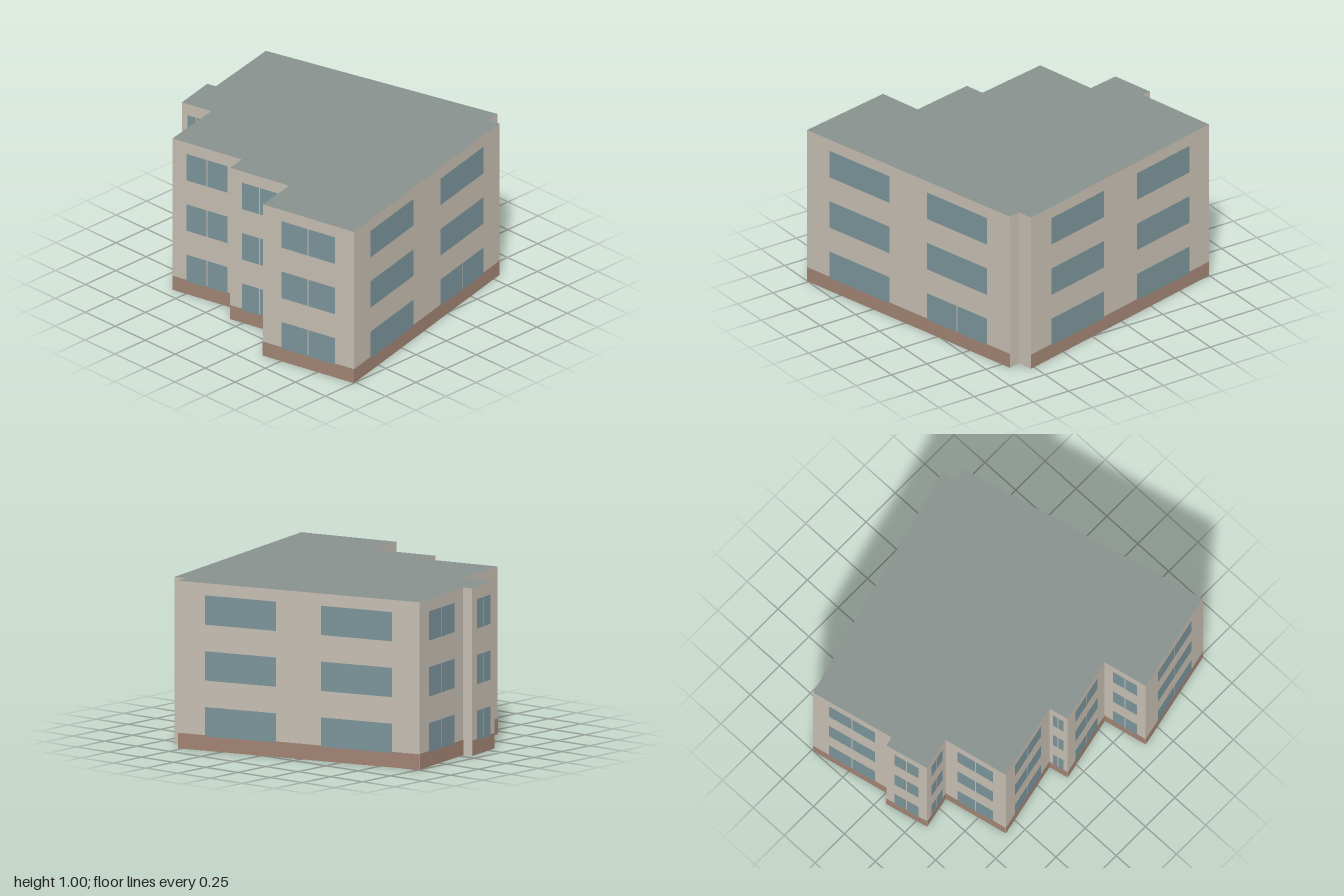
import * as THREE from 'three';

const HEIGHT = 1;
const PLINTH = 0.093;
const PANE_GAP = 0.006;

// Footprint corners [x, z], starting at the front right corner and going round
const FOOTPRINT = [
  [-0.764, 1.0], [0.813, 0.622], [0.797, 0.548], [0.891, 0.526],
  [0.49, -1.0], [-0.035, -0.886], [-0.049, -0.944], [-0.32, -0.882],
  [-0.278, -0.68], [-0.683, -0.594], [-0.583, -0.118], [-0.706, -0.091],
  [-0.62, 0.315], [-0.896, 0.374],
];

const wallMat = new THREE.MeshStandardMaterial({ color: 0xc8c0b4, side: THREE.DoubleSide });
const roofMat = new THREE.MeshStandardMaterial({ color: 0x8a928f, side: THREE.DoubleSide });
const plinthMat = new THREE.MeshStandardMaterial({ color: 0xa38575 });
const glassMat = new THREE.MeshStandardMaterial({ color: 0x7c969c });

// Upright panel spanning x0..x1 and y0..y1 of a wall, lifted outward by z
function panel(parent, name, mat, x0, x1, y0, y1, z) {
  const mesh = new THREE.Mesh(new THREE.PlaneGeometry(x1 - x0, y1 - y0), mat);
  mesh.position.set((x0 + x1) / 2, (y0 + y1) / 2, z);
  mesh.name = name;
  parent.add(mesh);
}

// Window of one pane, or two panes with a narrow gap between them
function addWindow(wall, name, center, width, y0, y1, split) {
  const x0 = center - width / 2, x1 = center + width / 2;
  if (!split) return panel(wall, name, glassMat, x0, x1, y0, y1, 0.003);
  panel(wall, name + 'PaneA', glassMat, x0, center - PANE_GAP / 2, y0, y1, 0.003);
  panel(wall, name + 'PaneB', glassMat, center + PANE_GAP / 2, x1, y0, y1, 0.003);
}

// One facade: local x runs along the wall, local z points outward
function makeWall([ax, az], [bx, bz], isFront) {
  const wall = new THREE.Group();
  const length = Math.hypot(bx - ax, bz - az);
  wall.position.set(ax, 0, az);
  wall.rotation.y = -Math.atan2(bz - az, bx - ax);
  panel(wall, 'wallFace', wallMat, 0, length, 0, HEIGHT, 0);
  if (length < 0.11) return wall; // short returns stay plain

  panel(wall, 'plinth', plinthMat, 0, length, 0, PLINTH, 0.0015);
  const wide = length > 1;
  const columns = wide ? [0.26, 0.74] : [0.5];
  const width = length * (wide ? 0.295 : 0.59);
  for (let floor = 0; floor < 3; floor++) {
    const y0 = 0.086 + floor / 3;
    columns.forEach((c, i) => {
      const door = isFront && floor === 0 && i === 1;
      addWindow(wall, door ? 'entrance' : 'window', c * length, width, y0, y0 + 0.175, door || !wide);
    });
  }
  return wall;
}

export function createModel() {
  const model = new THREE.Group();
  model.name = 'building';

  // Facades around the footprint, open underneath
  FOOTPRINT.forEach((corner, i) => {
    const wall = makeWall(corner, FOOTPRINT[(i + 1) % FOOTPRINT.length], i === 0);
    wall.name = i === 0 ? 'frontWall' : 'wall' + i;
    model.add(wall);
  });

  // Flat roof
  const outline = new THREE.Shape(FOOTPRINT.map(([x, z]) => new THREE.Vector2(x, -z)));
  const roof = new THREE.Mesh(new THREE.ShapeGeometry(outline).rotateX(-Math.PI / 2), roofMat);
  roof.position.y = HEIGHT;
  roof.name = 'roof';
  model.add(roof);

  return model;
}
